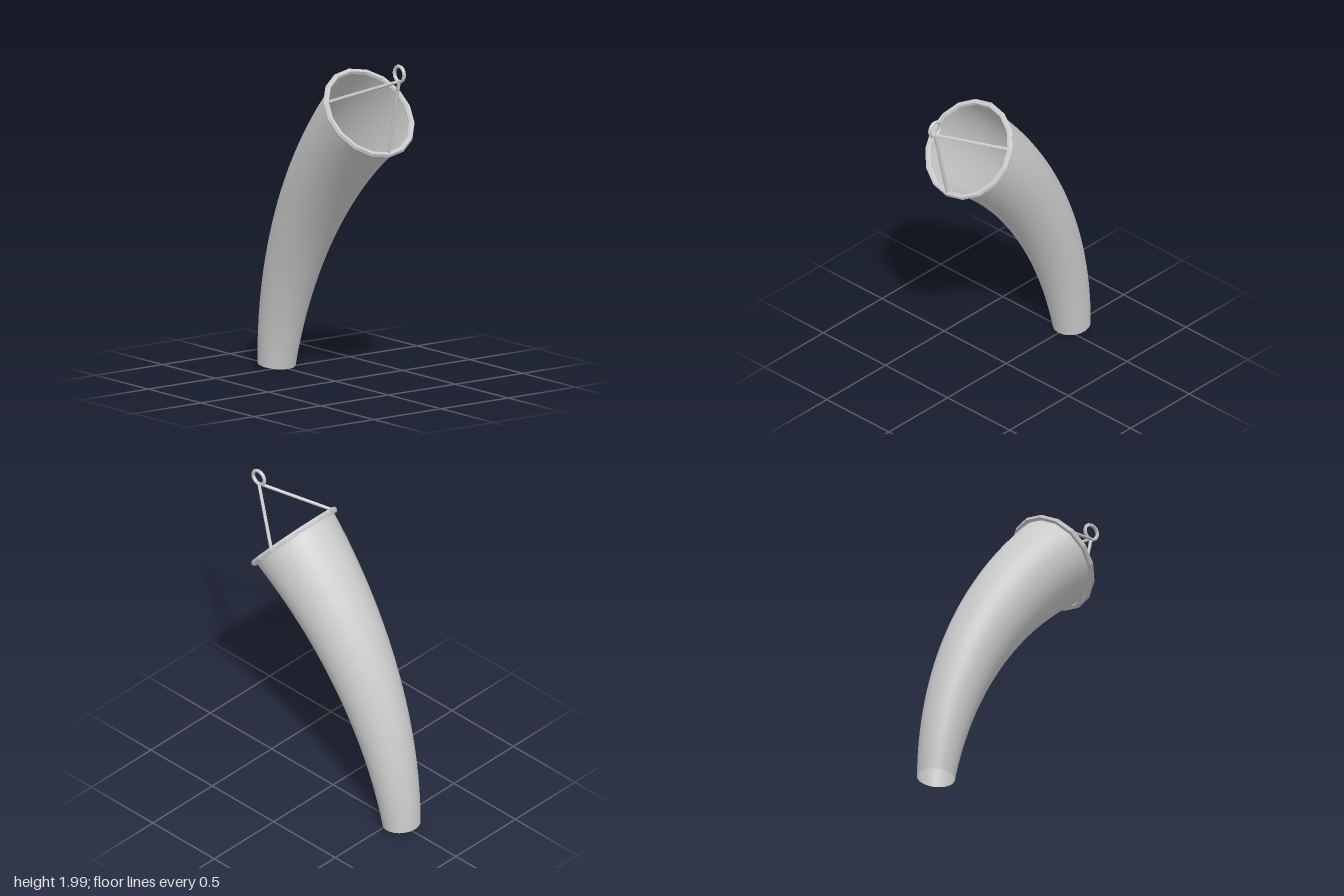
import * as THREE from 'three';

export function createModel() {
  const model = new THREE.Group();
  const grey = new THREE.MeshStandardMaterial({ color: 0xcccccc, side: THREE.DoubleSide });
  grey.name = 'light grey';

  const add = (name, geometry) => {
    const mesh = new THREE.Mesh(geometry, grey);
    mesh.name = name;
    model.add(mesh);
    return mesh;
  };

  // Flat facets for the low-poly metal parts
  const faceted = (geometry) => {
    const flat = geometry.toNonIndexed();
    flat.computeVertexNormals();
    return flat;
  };

  // Arc of the centre line: from the narrow tail up to the wide mouth
  const tail = new THREE.Vector2(-0.557, 0.02);
  const mouth = new THREE.Vector3(0.317, 1.662, 0);
  const chord = Math.hypot(mouth.x - tail.x, mouth.y - tail.y);
  const mid = Math.atan2(mouth.y - tail.y, mouth.x - tail.x);
  const half = 0.375; // half of the total bend
  const R = chord / (2 * Math.sin(half));
  const cx = tail.x + R * Math.sin(mid + half);
  const cy = tail.y - R * Math.cos(mid + half);

  // Tapered, open sleeve: a cylinder bent along the arc
  const sleeve = new THREE.CylinderGeometry(0.272, 0.112, 1, 48, 32, true);
  const p = sleeve.attributes.position;
  for (let i = 0; i < p.count; i++) {
    const a = mid + half - (p.getY(i) + 0.5) * 2 * half; // heading of the arc
    const r = R - p.getX(i);
    p.setXYZ(i, cx - r * Math.sin(a), cy + r * Math.cos(a), p.getZ(i));
  }
  sleeve.computeVertexNormals();
  // Share normals across the seam
  const n = sleeve.attributes.normal;
  for (let row = 0; row <= 32; row++) {
    const a = row * 49, b = a + 48;
    const v = new THREE.Vector3().fromBufferAttribute(n, a)
      .add(new THREE.Vector3().fromBufferAttribute(n, b)).normalize();
    n.setXYZ(a, v.x, v.y, v.z);
    n.setXYZ(b, v.x, v.y, v.z);
  }
  add('sleeve', sleeve);

  // Faceted hoop around the mouth
  const tilt = 0.695;
  const axis = new THREE.Vector3(Math.cos(tilt), Math.sin(tilt), 0);
  const up = new THREE.Vector3(-Math.sin(tilt), Math.cos(tilt), 0);
  const side = new THREE.Vector3(0, 0, -1);
  const hoopRadius = 0.286;
  const hoop = faceted(new THREE.TorusGeometry(hoopRadius, 0.018, 6, 16));
  hoop.applyMatrix4(new THREE.Matrix4().makeBasis(side, up, axis).setPosition(mouth));
  add('mouthHoop', hoop);

  // Three bridle rods meeting below the hanging ring
  const apex = new THREE.Vector3(0.605, 1.9, 0);
  [Math.PI / 8, Math.PI * 7 / 8, -Math.PI / 2].forEach((a, i) => {
    const foot = mouth.clone()
      .addScaledVector(side, hoopRadius * Math.cos(a))
      .addScaledVector(up, hoopRadius * Math.sin(a));
    const dir = apex.clone().sub(foot);
    const rod = add('bridleRod' + (i + 1), faceted(new THREE.CylinderGeometry(0.01, 0.01, dir.length(), 6)));
    rod.position.copy(foot).addScaledVector(dir, 0.5);
    rod.quaternion.setFromUnitVectors(new THREE.Vector3(0, 1, 0), dir.normalize());
  });

  // Hanging ring
  const ring = add('hangingRing', faceted(new THREE.TorusGeometry(0.046, 0.011, 6, 16)));
  ring.position.set(0.605, 1.943, 0);

  return model;
}
